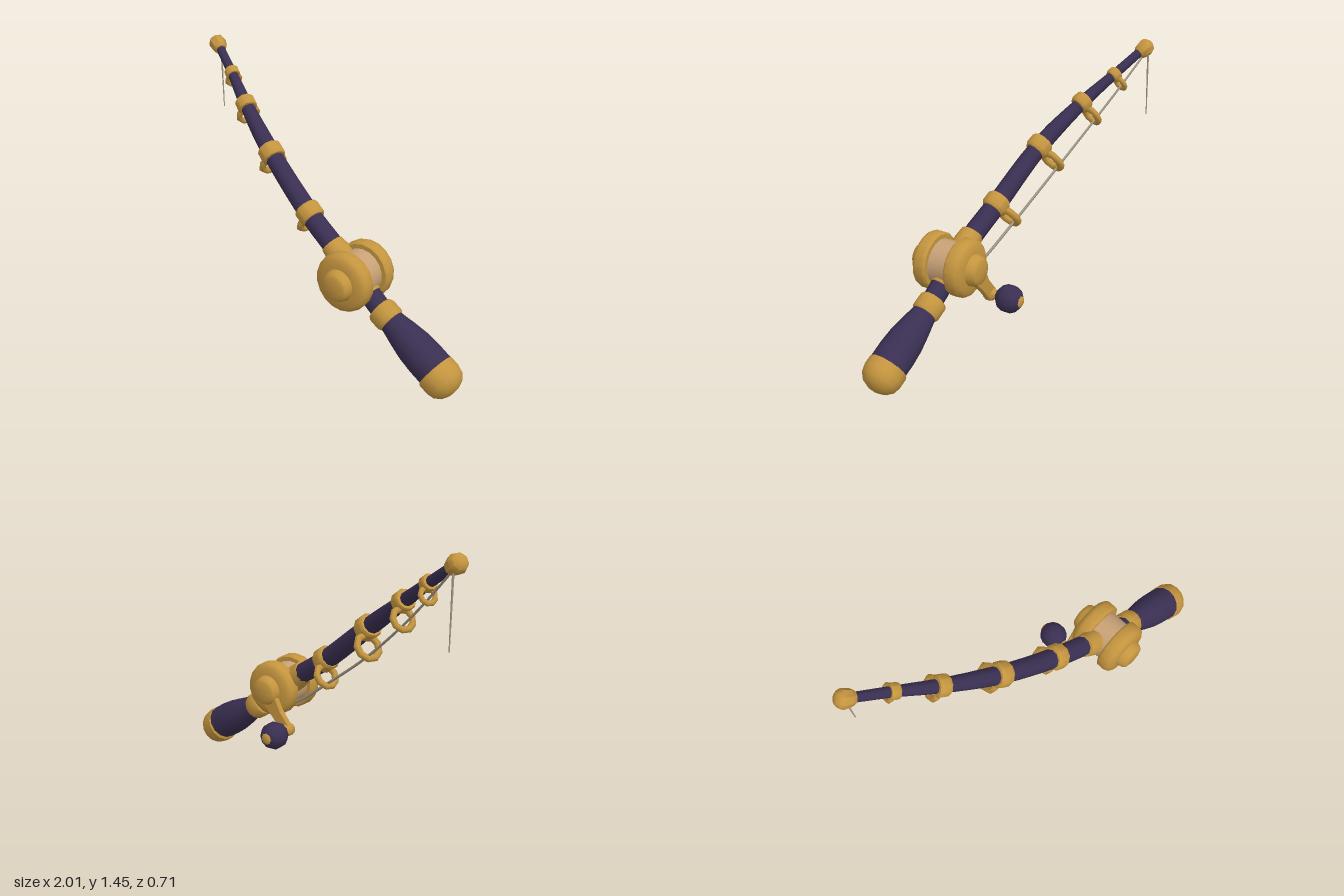
import * as THREE from 'three';
import { toCreasedNormals } from 'three/addons/utils/BufferGeometryUtils.js';

const V = (x, y, z) => new THREE.Vector3(x, y, z);

export function createModel() {
  const model = new THREE.Group();
  model.name = 'fishingRod';

  const material = (name, color) => {
    const m = new THREE.MeshStandardMaterial({ color });
    m.name = name;
    return m;
  };
  const gold = material('gold', 0xc4953f);
  const purple = material('darkPurple', 0x3a2f52);
  const tan = material('spoolTan', 0xc8a176);
  const cord = material('lineGrey', 0xa59c8b);

  const add = (name, geometry, mat, parent = model) => {
    const mesh = new THREE.Mesh(geometry, mat);
    mesh.name = name;
    parent.add(mesh);
    return mesh;
  };

  // Lathed part: profile of [radius, distance along dir], placed at a point
  const turned = (name, at, dir, profile, mat, sides = 12, parent = model) => {
    const pts = profile.map(([r, t]) => new THREE.Vector2(r, t));
    const geo = toCreasedNormals(new THREE.LatheGeometry(pts, sides), 0.75);
    const mesh = add(name, geo, mat, parent);
    mesh.position.copy(at);
    mesh.quaternion.setFromUnitVectors(V(0, 1, 0), dir.clone().normalize());
    return mesh;
  };

  // Tube along a curve whose radius follows a list of evenly spaced values
  const taperedTube = (name, curve, radii, steps, sides, mat) => {
    const geo = new THREE.TubeGeometry(curve, steps, 1, sides);
    const pos = geo.attributes.position;
    const v = V(0, 0, 0);
    for (let i = 0; i <= steps; i++) {
      const centre = curve.getPointAt(i / steps);
      const f = (i / steps) * (radii.length - 1);
      const k = Math.min(Math.floor(f), radii.length - 2);
      const r = THREE.MathUtils.lerp(radii[k], radii[k + 1], f - k);
      for (let j = 0; j <= sides; j++) {
        const n = i * (sides + 1) + j;
        v.fromBufferAttribute(pos, n).sub(centre).multiplyScalar(r).add(centre);
        pos.setXYZ(n, v.x, v.y, v.z);
      }
    }
    return add(name, geo, mat);
  };

  // Collar with bevelled edges
  const collar = (r, h) => [
    [0, -h], [r * 0.88, -h], [r, -h * 0.65], [r, h * 0.65], [r * 0.88, h], [0, h],
  ];

  // Rod blank, gently bent
  const rodPath = new THREE.CatmullRomCurve3([
    V(0.56, 0.32, 0.16), V(0.24, 0.565, 0.125), V(0.025, 0.705, 0.085),
    V(-0.295, 0.95, 0.005), V(-0.57, 1.145, -0.11), V(-0.76, 1.275, -0.21),
    V(-0.95, 1.4, -0.305),
  ]);
  taperedTube('rodBlank', rodPath, [0.056, 0.056, 0.056, 0.054, 0.051, 0.046, 0.036, 0.027, 0.024],
    24, 10, purple);

  // Handle, its collar and rounded butt cap
  const handleDir = V(0.855, -0.51, 0.08).normalize();
  const handleStart = V(0.56, 0.32, 0.157);
  turned('handleGrip', handleStart, handleDir,
    [[0.06, 0], [0.068, 0.06], [0.082, 0.13], [0.095, 0.21], [0.1, 0.29], [0.099, 0.39]], purple, 14);
  turned('handleCollar', handleStart, handleDir, collar(0.077, 0.046), gold);
  turned('buttCap', V(0.875, 0.126, 0.186), handleDir,
    [[0.094, -0.012], [0.106, 0], [0.106, 0.05], [0.097, 0.085], [0.07, 0.115], [0.035, 0.13], [0, 0.134]], gold, 14);

  // Reel seat sleeve under the spool
  turned('reelSeat', V(0.33, 0.497, 0.138), V(-0.78, 0.6, -0.08), collar(0.07, 0.165), gold);

  // Line guides: collar on the blank with a loop hanging below and behind
  const guides = [
    [0.025, 0.71, 0.085, 0.07, 0.06, 0.02, 0.1],
    [-0.295, 0.952, 0.005, 0.068, 0.064, 0.02, 0.108],
    [-0.57, 1.147, -0.11, 0.057, 0.054, 0.018, 0.092],
    [-0.76, 1.275, -0.212, 0.042, 0.038, 0.014, 0.06],
  ];
  const tangentNear = (p) => {
    let best = 0;
    for (let u = 0; u <= 1; u += 0.01) {
      if (rodPath.getPointAt(u).distanceTo(p) < rodPath.getPointAt(best).distanceTo(p)) best = u;
    }
    return rodPath.getTangentAt(best);
  };
  for (const [x, y, z, r, loopR, wire, drop] of guides) {
    const guide = new THREE.Group();
    guide.name = 'lineGuide';
    model.add(guide);
    const at = V(x, y, z);
    const t = tangentNear(at);
    const down = V(-0.3, -0.82, -0.5);
    down.addScaledVector(t, -down.dot(t)).normalize();
    turned('guideCollar', at, t, collar(r, r * 0.58), gold, 10, guide);
    const loop = add('guideLoop', new THREE.TorusGeometry(loopR, wire, 6, 9), gold, guide);
    loop.position.copy(at).addScaledVector(down, drop);
    loop.quaternion.setFromUnitVectors(V(0, 0, 1), t);
  }

  // Tip cap
  turned('tipCap', V(-0.945, 1.395, -0.304), V(-0.78, 0.5, -0.38),
    [[0, -0.045], [0.032, -0.045], [0.043, -0.025], [0.05, 0.015], [0.042, 0.038], [0.024, 0.052], [0, 0.054]], gold, 8);

  // Reel: spool and two mirrored side plates with raised hubs
  const reel = new THREE.Group();
  reel.name = 'reel';
  reel.position.set(0.37, 0.485, 0.155);
  model.add(reel);
  const zero = V(0, 0, 0);
  turned('spool', zero, V(0, 0, 1), [[0.122, -0.07], [0.122, 0.07]], tan, 18, reel);
  for (const side of [1, -1]) {
    turned('sidePlate', zero, V(0, 0, side),
      [[0, 0.056], [0.145, 0.056], [0.154, 0.066], [0.155, 0.11], [0.148, 0.128], [0.128, 0.143],
        [0.085, 0.147], [0.079, 0.172], [0.068, 0.19], [0.045, 0.197], [0, 0.2]], gold, 18, reel);
  }

  // Crank arm, pivot and round knob
  const crank = new THREE.Group();
  crank.name = 'crank';
  model.add(crank);
  const armShape = new THREE.Shape([
    [0.405, 0.435], [0.325, 0.51], [0.265, 0.385], [0.2, 0.305], [0.222, 0.262], [0.25, 0.265], [0.315, 0.345],
  ].map(([x, y]) => new THREE.Vector2(x, y)));
  const arm = new THREE.ExtrudeGeometry(armShape,
    { depth: 0.02, bevelEnabled: true, bevelSize: 0.006, bevelThickness: 0.007, bevelSegments: 1 });
  add('crankArm', arm, gold, crank).position.z = -0.012;
  const back = V(0, 0, -1);
  const knobAt = V(0.225, 0.287, 0);
  turned('crankPivot', knobAt, back,
    [[0, -0.03], [0.03, -0.03], [0.037, -0.02], [0.037, 0.015], [0.022, 0.032], [0.022, 0.07]], gold, 10, crank);
  const knob = add('crankKnob', new THREE.SphereGeometry(0.077, 10, 7), purple, crank);
  knob.position.set(0.225, 0.287, -0.115);
  knob.rotation.x = Math.PI / 2;
  turned('knobCap', knobAt, back, [[0.036, 0.172], [0.032, 0.186], [0.02, 0.193], [0, 0.194]], gold, 8, crank);

  // Fishing line through the guides, then hanging from the tip
  const linePath = new THREE.CatmullRomCurve3([
    V(0.36, 0.365, 0.13), V(0.2, 0.44, 0.08), V(-0.02, 0.59, 0.015), V(-0.32, 0.805, -0.07),
    V(-0.6, 1.04, -0.17), V(-0.78, 1.21, -0.245), V(-0.94, 1.375, -0.315),
  ]);
  taperedTube('fishingLine', linePath, [0.009, 0.008, 0.007, 0.006], 30, 5, cord);
  taperedTube('hangingLine', new THREE.LineCurve3(V(-0.948, 1.38, -0.33), V(-0.948, 1.015, -0.338)),
    [0.006, 0.003], 4, 5, cord);

  return model;
}
